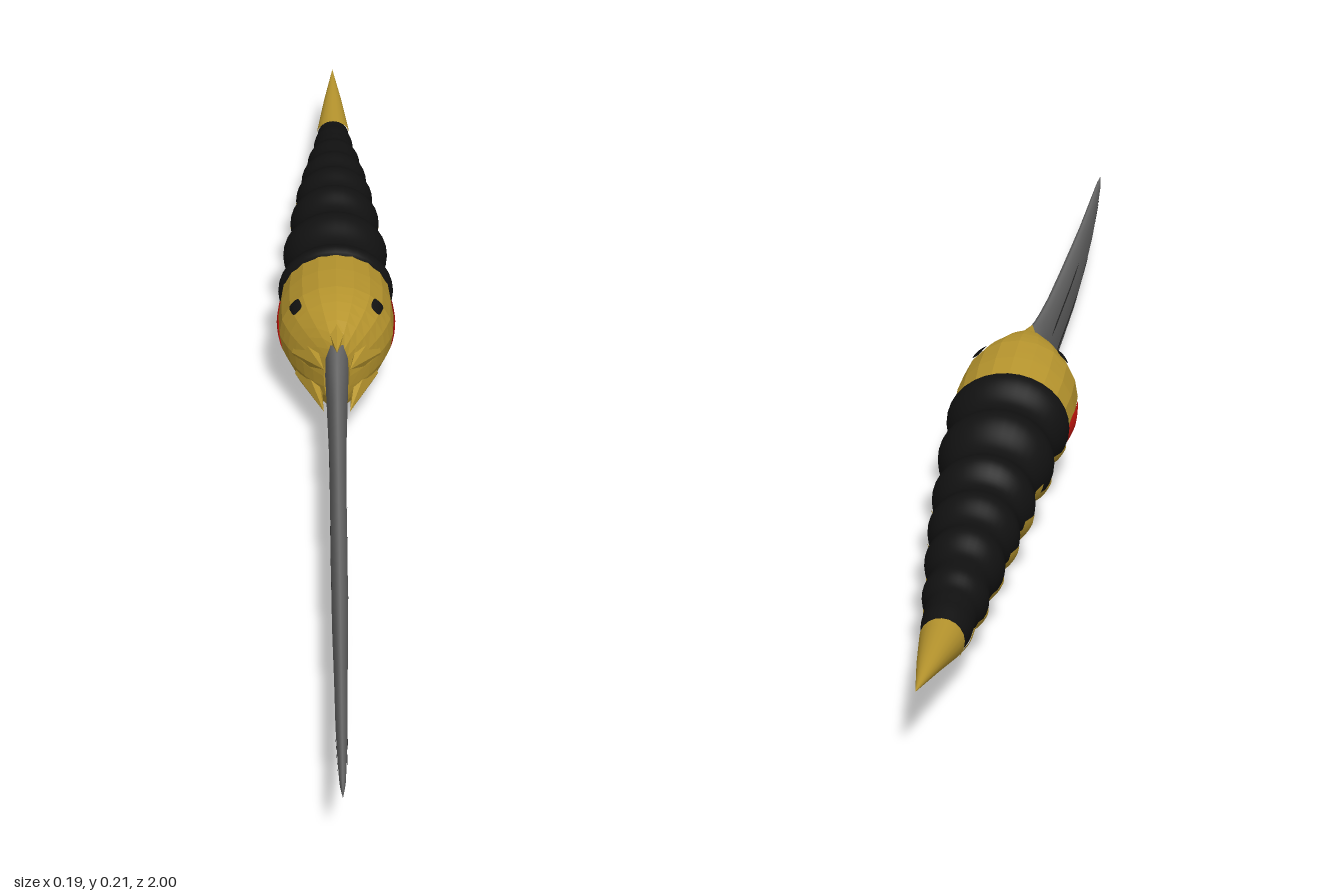
import * as THREE from 'three';

const GOLD = 0xb8962e, BLACK = 0x111111, STEEL = 0x6a6a6a, DARK = 0x303030, RED = 0xd01810;

// Grid surface from fn(u, v) with u, v in 0..1; closed joins the v seam
function surface(fn, nu, nv, closed) {
  const pos = [], idx = [], row = closed ? nv : nv + 1;
  for (let i = 0; i <= nu; i++)
    for (let j = 0; j < row; j++) pos.push(...fn(i / nu, j / nv));
  for (let i = 0; i < nu; i++)
    for (let j = 0; j < nv; j++) {
      const k = (j + 1) % row, a = i * row + j, b = i * row + k;
      idx.push(a, b, a + row, b, b + row, a + row);
    }
  const g = new THREE.BufferGeometry();
  g.setAttribute('position', new THREE.Float32BufferAttribute(pos, 3));
  g.setIndex(idx);
  g.computeVertexNormals();
  return g;
}

function mesh(name, geo, color, opts = {}) {
  const m = new THREE.Mesh(geo, new THREE.MeshStandardMaterial({ color, ...opts }));
  m.name = name;
  return m;
}

// Interpolate rows of [z, top, bottom, halfWidth]
function sample(rows, z, smooth) {
  let i = 0;
  while (i < rows.length - 2 && z > rows[i + 1][0]) i++;
  const [p, q] = [rows[i], rows[i + 1]];
  let t = THREE.MathUtils.clamp((z - p[0]) / (q[0] - p[0]), 0, 1);
  if (smooth) t = t * t * (3 - 2 * t);
  return p.map((v, k) => v + (q[k] - v) * t);
}

// Elliptical body: point at z and angle, pushed out by off
const body = (rows, smooth) => (z, a, off = 0) => {
  const [, top, bot, w] = sample(rows, z, smooth);
  return [(w + off) * Math.cos(a), (top + bot) / 2 + ((top - bot) / 2 + off) * Math.sin(a), z];
};
const shell = (fn, z0, z1, nu, nv) =>
  surface((u, v) => fn(z0 + (z1 - z0) * u, v * Math.PI * 2), nu, nv, true);

const bladeRows = [
  [-0.05, 0.185, 0.06, 0.016], [0.03, 0.186, 0.052, 0.018], [0.09, 0.176, 0.035, 0.016], [0.12, 0.17, 0.017, 0.015],
  [0.15, 0.165, 0.004, 0.014], [0.2, 0.157, 0.016, 0.013], [0.3, 0.145, 0.014, 0.012], [0.45, 0.133, 0.01, 0.012],
  [0.6, 0.124, 0.009, 0.011], [0.72, 0.119, 0.018, 0.009], [0.82, 0.117, 0.035, 0.008],
  [0.9, 0.117, 0.06, 0.006], [0.96, 0.117, 0.088, 0.004], [1, 0.115, 0.114, 0]];
const handleRows = [
  [-0.81, 0.113, 0.058, 0.027], [-0.76, 0.122, 0.05, 0.034], [-0.73, 0.124, 0.053, 0.035],
  [-0.69, 0.138, 0.043, 0.045], [-0.66, 0.137, 0.053, 0.042], [-0.61, 0.157, 0.045, 0.055],
  [-0.58, 0.152, 0.06, 0.05], [-0.53, 0.172, 0.048, 0.064], [-0.49, 0.163, 0.064, 0.057],
  [-0.44, 0.187, 0.046, 0.073], [-0.39, 0.172, 0.066, 0.064], [-0.32, 0.203, 0.05, 0.084],
  [-0.26, 0.186, 0.064, 0.071], [-0.2, 0.213, 0.05, 0.091], [-0.18, 0.205, 0.055, 0.085]];
const headRows = [
  [-0.19, 0.206, 0.05, 0.086], [-0.13, 0.213, 0.045, 0.09], [-0.07, 0.216, 0.043, 0.088],
  [-0.03, 0.211, 0.045, 0.072], [0.01, 0.2, 0.05, 0.046], [0.04, 0.185, 0.065, 0.02]];
const tipRows = [[-1, 0.118, 0.118, 0], [-0.9, 0.119, 0.088, 0.016], [-0.8, 0.118, 0.055, 0.03]];

// Blade half section from edge to spine: [width fraction, height fraction]
const half = [[0, 0], [0.35, 0.12], [0.75, 0.3], [1, 0.55], [0.95, 0.8], [0.55, 0.96], [0, 1]];
const section = [...half, ...half.slice(1, -1).reverse().map(([x, y]) => [-x, y])];

function bladePoint(z, fx, fy) {
  const [, top, bot, w] = sample(bladeRows, z, false);
  return [w * fx, bot + (top - bot) * fy, z];
}
// Width fraction of the blade at a height fraction
function bladeWidth(fy) {
  const i = half.findIndex((p) => p[1] >= fy);
  const [p, q] = [half[i - 1], half[i]];
  return p[0] + (q[0] - p[0]) * (fy - p[1]) / (q[1] - p[1]);
}

export function createModel() {
  const root = new THREE.Group();
  root.name = 'dagger';
  const add = (...args) => root.add(mesh(...args));
  const thin = { side: THREE.DoubleSide };

  // Blade
  const n = section.length;
  add('blade', surface((u, v) => {
    const [x, y] = section[Math.round(v * n) % n];
    return bladePoint(-0.05 + 1.05 * u, x, y);
  }, 84, n, true), STEEL, thin);

  // Dark grooves along both blade faces: [z0, z1, height at z0, height at z1, half height]
  const grooves = [[0.2, 0.58, 0.7, 0.79, 0.022], [0.28, 0.58, 0.27, 0.3, 0.04],
    [0.64, 0.74, 0.3, 0.31, 0.04], [0.84, 0.93, 0.5, 0.52, 0.05]];
  for (const s of [1, -1])
    for (const [z0, z1, h0, h1, d] of grooves)
      add('bladeGroove', surface((u, v) => {
        const fy = h0 + (h1 - h0) * u + (v - 0.5) * 2 * d * Math.min(1, 6 * u + 0.1, 6 * (1 - u) + 0.1);
        const p = bladePoint(z0 + (z1 - z0) * u, bladeWidth(fy), fy);
        return [s * (p[0] + 0.0008), p[1], p[2]];
      }, 20, 3, false), DARK, thin);

  // Faceted head, closed at the blade
  const head = body(headRows, false);
  add('head', shell(head, -0.19, 0.04, 12, 20), GOLD, { flatShading: true });
  add('headFront', surface((u, v) => {
    const p = head(0.04, v * Math.PI * 2);
    return [p[0] * (1 - u), 0.125 + (p[1] - 0.125) * (1 - u), 0.04 - 0.02 * u];
  }, 1, 20, true), GOLD, { flatShading: true });

  // Pointed beak and cheek guards reaching over the blade
  const spike = (name, from, to, r, flat) => {
    const a = new THREE.Vector3(...from), dir = new THREE.Vector3(...to).sub(a);
    const g = new THREE.ConeGeometry(r, dir.length(), 6);
    g.translate(0, dir.length() / 2, 0);
    g.scale(flat, 1, 1);
    const m = mesh(name, g, GOLD, { flatShading: true });
    m.position.copy(a);
    m.quaternion.setFromUnitVectors(new THREE.Vector3(0, 1, 0), dir.normalize());
    root.add(m);
  };
  spike('beak', [0, 0.183, -0.03], [0, 0.185, 0.068], 0.026, 1);
  for (const s of [1, -1]) {
    spike('cheekGuard', [s * 0.05, 0.14, -0.03], [s * 0.02, 0.15, 0.06], 0.035, 0.5);
    spike('jawGuard', [s * 0.045, 0.1, -0.03], [s * 0.02, 0.078, 0.066], 0.035, 0.5);
  }

  // Domed oval patches on both sides of the head
  const oval = (name, z, a, dz, da, bulge, color) => {
    for (const s of [1, -1])
      add(name, surface((u, v) => {
        const t = v * Math.PI * 2;
        const k = 1 / Math.pow(Math.cos(t) ** 4 + Math.sin(t) ** 4, 0.25);
        const p = head(z + dz * u * k * Math.cos(t), a + da * u * k * Math.sin(t), 0.0015 + bulge * (1 - u * u));
        return [s * p[0], p[1], p[2]];
      }, 8, 24, true), color, thin);
  };
  oval('redEye', -0.135, -0.3, 0.053, 0.34, 0.003, RED);
  oval('blackSpot', -0.06, 0.74, 0.013, 0.13, 0.002, BLACK);

  // Ribbed grip and pointed end
  const grip = body(handleRows, true);
  add('grip', shell(grip, -0.81, -0.18, 126, 32), BLACK);
  add('gripFront', surface((u, v) => {
    const p = grip(-0.18, v * Math.PI * 2);
    return [p[0] * (1 - u), 0.13 + (p[1] - 0.13) * (1 - u), -0.18];
  }, 1, 32, true), BLACK);
  add('endSpike', shell(body(tipRows, false), -1, -0.8, 12, 20), GOLD);

  // Gold inlay laid on the underside of the grip
  const inlay = (name, z0, z1, a0, a1, s = 1) =>
    add(name, surface((u, v) => {
      const p = grip(z0 + (z1 - z0) * u, a0 + (a1 - a0) * v, 0.002);
      return [s * p[0], p[1], p[2]];
    }, Math.ceil((z1 - z0) * 160), 12, false), GOLD, thin);
  for (const s of [1, -1]) {
    inlay('sideStrip', -0.81, -0.18, -0.62, -0.38, s);
    for (const z of [-0.28, -0.37, -0.46, -0.55]) inlay('sidePlate', z - 0.012, z + 0.012, -0.85, -0.15, s);
  }
  for (const z of [-0.64, -0.7, -0.78]) inlay('bellyBand', z - 0.014, z + 0.014, -Math.PI + 0.4, -0.4);

  return root;
}
